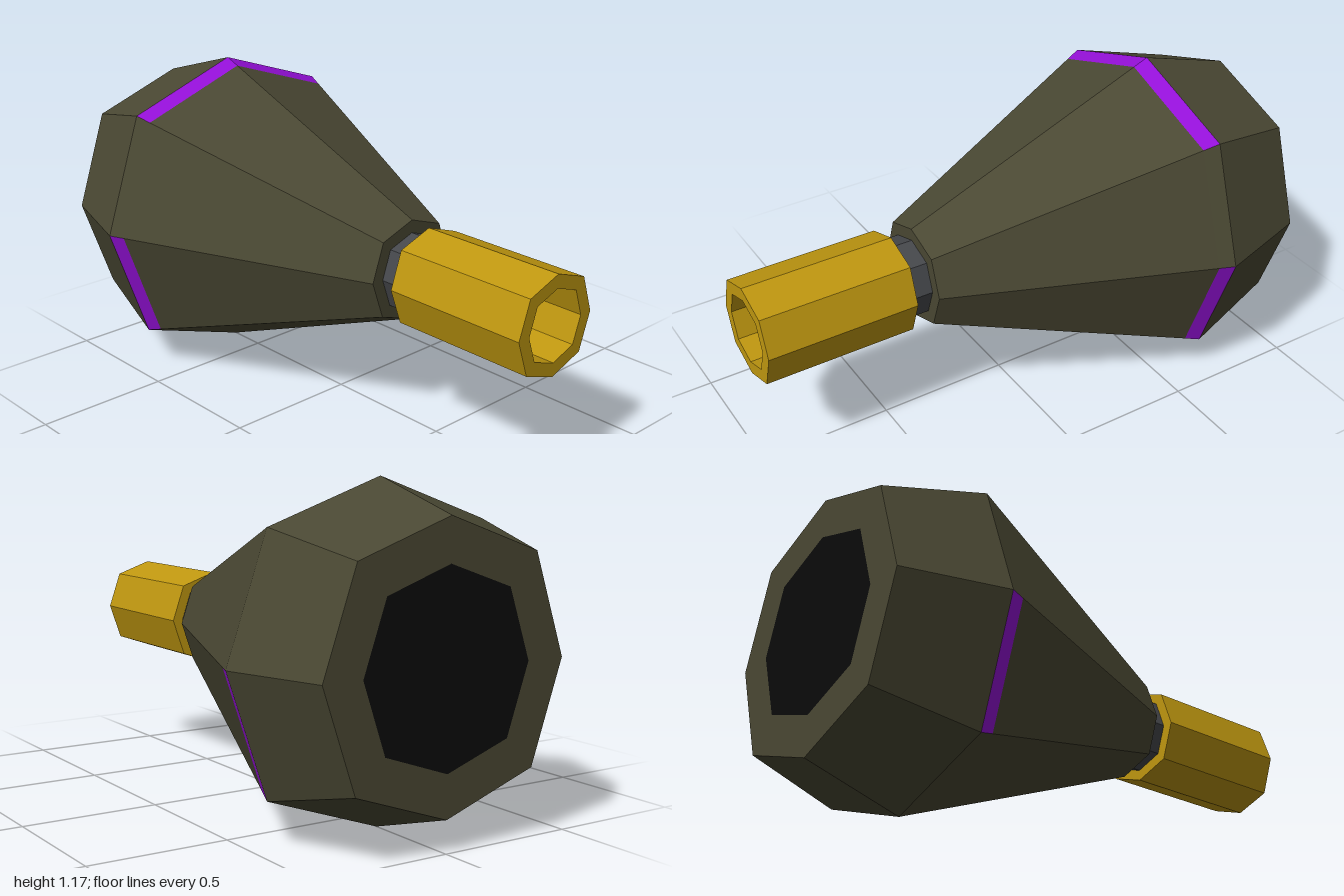
import * as THREE from 'three';

const CENTER_Y = 0.585;
const ALL = [0, 1, 2, 3, 4, 5, 6, 7];

// Corner k of the slightly squared octagon with axis radius r
function corner(r, z, k) {
  const a = k * Math.PI / 4;
  const s = k % 2 ? r * 1.05 : r;
  return [Math.cos(a) * s, Math.sin(a) * s, z];
}

// Skins a profile of [radius, z] pairs around the z axis, on the chosen facets only
function loft(profile, facets = ALL) {
  const pos = [];
  for (let i = 0; i < profile.length - 1; i++) {
    const [r0, z0] = profile[i], [r1, z1] = profile[i + 1];
    for (const k of facets) {
      const a = corner(r0, z0, k), b = corner(r0, z0, k + 1);
      const c = corner(r1, z1, k), d = corner(r1, z1, k + 1);
      if (r0 > 0) pos.push(...a, ...c, ...b);
      if (r1 > 0) pos.push(...c, ...d, ...b);
    }
  }
  const g = new THREE.BufferGeometry();
  g.setAttribute('position', new THREE.Float32BufferAttribute(pos, 3));
  g.computeVertexNormals();
  return g;
}

export function createModel() {
  const group = new THREE.Group();
  group.name = 'thruster';
  const mat = (color) => new THREE.MeshStandardMaterial({ color, flatShading: true });
  const olive = mat(0x4a4833), gold = mat(0xbf9710), purple = mat(0x9410d8);
  const steel = mat(0x46484c), black = mat(0x0b0b0b);

  const add = (name, material, profile, facets) => {
    const mesh = new THREE.Mesh(loft(profile, facets), material);
    mesh.name = name;
    mesh.position.y = CENTER_Y;
    group.add(mesh);
  };

  // Tapered housing, with a band just ahead of its widest ring
  const striped = [1, 2, 4, 7];
  const band = [[0.562, -0.583], [0.585, -0.64]];
  add('housingFront', olive, [[0, 0.36], [0.187, 0.36], band[0]]);
  add('housingBand', olive, band, ALL.filter((k) => !striped.includes(k)));
  add('bandStripes', purple, band, striped);
  add('housingRear', olive, [[0.585, -0.64], [0.475, -1], [0.328, -1]]);
  add('rearOpening', black, [[0.328, -1], [0, -1]]);

  // Neck joining housing and barrel
  add('neck', steel, [[0.14, 0.44], [0.14, 0.36]]);

  // Hollow barrel with a dark floor
  add('barrel', gold, [[0.13, 0.45], [0.13, 1], [0.18, 1], [0.18, 0.44], [0.13, 0.44]]);
  add('boreFloor', black, [[0, 0.45], [0.13, 0.45]]);

  return group;
}
